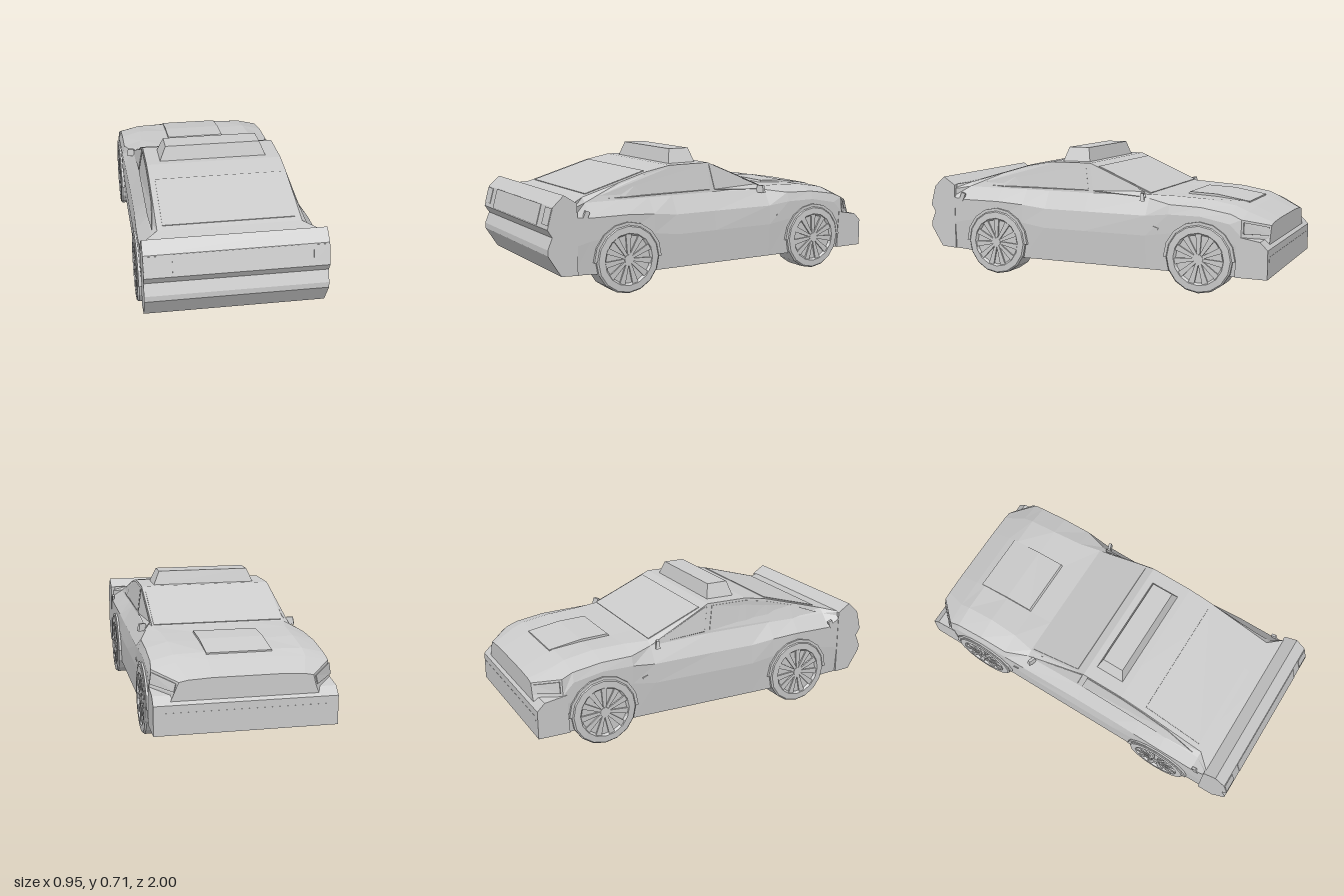
import * as THREE from 'three';

const material = new THREE.MeshStandardMaterial({ color: 0xcccccc, flatShading: true });

// Body sections from tail to nose: z, floor y, then half outline points
// waist, shoulder, belt and roof/hood edge, and last the centre height.
const sections = [
  [0.86, 0.125, [0.46, 0.27], [0.46, 0.42], [0.46, 0.465], [0.455, 0.49], 0.49],
  [0.77, 0.12, [0.46, 0.29], [0.46, 0.41], [0.40, 0.48], [0.37, 0.505], 0.505],
  [0.56, 0.10, [0.46, 0.32], [0.46, 0.41], [0.40, 0.48], [0.37, 0.566], 0.566],
  [0.40, 0.10, [0.46, 0.30], [0.455, 0.40], [0.395, 0.48], [0.37, 0.612], 0.612],
  [0.26, 0.10, [0.46, 0.28], [0.45, 0.385], [0.395, 0.48], [0.37, 0.638], 0.638],
  [0.02, 0.10, [0.46, 0.28], [0.45, 0.385], [0.395, 0.48], [0.37, 0.64], 0.64],
  [-0.34, 0.10, [0.46, 0.28], [0.455, 0.385], [0.40, 0.47], [0.365, 0.487], 0.487],
  [-0.47, 0.10, [0.46, 0.30], [0.46, 0.40], [0.445, 0.45], [0.34, 0.483], 0.476],
  [-0.64, 0.10, [0.46, 0.32], [0.46, 0.40], [0.445, 0.445], [0.33, 0.475], 0.468],
  [-0.80, 0.10, [0.46, 0.28], [0.46, 0.37], [0.445, 0.42], [0.33, 0.448], 0.452],
  [-0.86, 0.10, [0.46, 0.25], [0.46, 0.31], [0.45, 0.395], [0.33, 0.422], 0.43],
  [-0.985, 0.10, [0.37, 0.25], [0.35, 0.30], [0.335, 0.358], [0.29, 0.367], 0.373],
];

function geometryFrom(positions) {
  const g = new THREE.BufferGeometry();
  g.setAttribute('position', new THREE.Float32BufferAttribute(positions, 3));
  g.computeVertexNormals();
  return g;
}

function add(parent, name, geometry, x = 0, y = 0, z = 0) {
  const mesh = new THREE.Mesh(geometry, material);
  mesh.name = name;
  mesh.position.set(x, y, z);
  parent.add(mesh);
  return mesh;
}

// Faceted shell through all sections, closed at both ends
function bodyGeometry() {
  const rings = sections.map(([z, floor, waist, shoulder, belt, edge, top]) => {
    const half = [[0.45, floor], waist, shoulder, belt, edge, [0.17, top]];
    const other = half.map(([x, y]) => [-x, y]).reverse();
    return [...half, ...other].map(([x, y]) => [x, y, z]);
  });
  const out = [], n = rings[0].length;
  const tri = (...p) => p.forEach(v => out.push(...v));
  for (let i = 0; i < rings.length - 1; i++) {
    for (let j = 0; j < n; j++) {
      const k = (j + 1) % n, a = rings[i], b = rings[i + 1];
      tri(a[j], b[j], b[k]);
      tri(a[j], b[k], a[k]);
    }
  }
  const rear = rings[0], nose = rings[rings.length - 1];
  for (let j = 1; j < n - 1; j++) {
    tri(rear[0], rear[j], rear[j + 1]);
    tri(nose[0], nose[j + 1], nose[j]);
  }
  return geometryFrom(out);
}

// Flat plate: corners counterclockwise seen from outside, raised by d
function plate(corners, d = 0.004) {
  const base = corners.map(c => new THREE.Vector3(...c));
  const normal = base[1].clone().sub(base[0]).cross(base[2].clone().sub(base[0])).normalize();
  const top = base.map(p => p.clone().addScaledVector(normal, d));
  const out = [], tri = (...p) => p.forEach(v => out.push(v.x, v.y, v.z));
  for (let i = 1; i < base.length - 1; i++) tri(top[0], top[i], top[i + 1]);
  base.forEach((p, i) => {
    const k = (i + 1) % base.length;
    tri(p, base[k], top[k]);
    tri(p, top[k], top[i]);
  });
  return geometryFrom(out);
}

function mirroredPlates(parent, name, corners, d) {
  add(parent, name + 'Left', plate(corners, d));
  add(parent, name + 'Right', plate(corners.map(([x, y, z]) => [-x, y, z]).reverse(), d));
}

// Point on the cabin side between belt and roof edge
function onSide(z, t) {
  const i = sections.findIndex((s, k) => k > 0 && s[0] <= z);
  const a = sections[i - 1], b = sections[i], f = (a[0] - z) / (a[0] - b[0]);
  const mix = (u, v, w) => u + (v - u) * w;
  const at = c => mix(mix(a[4][c], a[5][c], t), mix(b[4][c], b[5][c], t), f);
  return [at(0), at(1), z];
}

// Profile of [z, y] points swept across the car
function across(profile, halfWidth) {
  const shape = new THREE.Shape(profile.map(([z, y]) => new THREE.Vector2(-z, y)));
  const g = new THREE.ExtrudeGeometry(shape, { depth: 2 * halfWidth, bevelEnabled: false });
  return g.rotateY(Math.PI / 2).translate(-halfWidth, 0, 0);
}

// Box whose top is narrowed in x and z
function taperedBox(w, h, d, topW, topD) {
  const g = new THREE.BoxGeometry(w, h, d), p = g.attributes.position;
  for (let i = 0; i < p.count; i++) {
    if (p.getY(i) > 0) p.setXYZ(i, p.getX(i) * topW / w, p.getY(i), p.getZ(i) * topD / d);
  }
  return g;
}

function createWheel() {
  const wheel = new THREE.Group();
  const profile = [[0, 0.085], [0.125, 0.085], [0.14, 0], [0.18, 0], [0.18, 0.125], [0.172, 0.134],
    [0.137, 0.136], [0.127, 0.123], [0, 0.123]].map(p => new THREE.Vector2(...p));
  add(wheel, 'tire', new THREE.LatheGeometry(profile, 16)).rotation.z = -Math.PI / 2;
  // Spokes widen toward the rim
  for (let i = 0; i < 11; i++) {
    const g = taperedBox(0.01, 0.115, 0.014, 0.01, 0.032).translate(0.127, 0.075, 0);
    add(wheel, 'spoke', g).rotation.x = i * Math.PI * 2 / 11;
  }
  add(wheel, 'hub', new THREE.CylinderGeometry(0.026, 0.026, 0.014, 10), 0.128).rotation.z = -Math.PI / 2;
  // Faceted wheel arch
  const arch = new THREE.Shape();
  for (let i = 0; i <= 8; i++) {
    const a = Math.PI * (i / 8);
    arch[i ? 'lineTo' : 'moveTo'](0.194 * Math.cos(a), 0.194 * Math.sin(a));
  }
  for (let i = 8; i >= 0; i--) {
    const a = Math.PI * (i / 8);
    arch.lineTo(0.178 * Math.cos(a), 0.178 * Math.sin(a));
  }
  const archGeometry = new THREE.ExtrudeGeometry(arch, { depth: 0.05, bevelEnabled: false });
  add(wheel, 'wheelArch', archGeometry.rotateY(Math.PI / 2), 0.08);
  return wheel;
}

export function createModel() {
  const car = new THREE.Group();
  car.name = 'car';
  add(car, 'body', bodyGeometry());

  // Tail with raised spoiler, and front bumper
  add(car, 'tail', across([[0.84, 0.125], [0.84, 0.49], [0.91, 0.535], [0.97, 0.48], [1, 0.37],
    [0.975, 0.33], [1, 0.27], [1, 0.24], [0.93, 0.13]].reverse(), 0.462));
  add(car, 'frontBumper', across([[-0.83, 0.10], [-1, 0.10], [-1, 0.25], [-0.96, 0.29], [-0.84, 0.31]].reverse(), 0.462));
  add(car, 'bumperStrip', new THREE.BoxGeometry(0.86, 0.025, 0.006), 0, 0.2, -0.998);

  // Tail panel and lamps on the sloping rear face
  const rearZ = y => 1 - (y - 0.37) * 0.2727;
  const rearPlate = (x0, x1, y0, y1) => [[x0, y0, rearZ(y0)], [x1, y0, rearZ(y0)], [x1, y1, rearZ(y1)], [x0, y1, rearZ(y1)]];
  add(car, 'tailPanel', plate(rearPlate(-0.32, 0.32, 0.375, 0.479), 0.003));
  mirroredPlates(car, 'tailLamp', rearPlate(0.38, 0.459, 0.39, 0.474), 0.003);

  // Glass
  const slope = (z0, y0, z1, y1) => z => y0 + (y1 - y0) * (z - z0) / (z1 - z0);
  const screen = slope(0.02, 0.64, -0.34, 0.487), back = slope(0.4, 0.612, 0.77, 0.505);
  const topPlate = (w, z0, z1, y) => [[-w, y(z0), z0], [w, y(z0), z0], [w, y(z1), z1], [-w, y(z1), z1]];
  add(car, 'windshield', plate(topPlate(0.355, -0.025, -0.33, screen)));
  add(car, 'rearWindow', plate(topPlate(0.34, 0.74, 0.40, back)));
  mirroredPlates(car, 'frontSideWindow', [onSide(-0.01, 0.08), onSide(-0.32, 0.1), onSide(-0.3, 0.85), onSide(0.015, 0.93)]);
  mirroredPlates(car, 'rearSideWindow', [onSide(0.73, 0.3), onSide(0.56, 0.1), onSide(0.02, 0.08), onSide(0.045, 0.92),
    onSide(0.26, 0.92), onSide(0.4, 0.9), onSide(0.56, 0.87)], 0.003);

  // Roof sign
  add(car, 'roofSign', taperedBox(0.59, 0.08, 0.165, 0.52, 0.12), 0, 0.675, 0.14);

  // Hood scoop, flush at the nose and open step at the back
  add(car, 'hoodScoop', across([[-0.47, 0.465], [-0.485, 0.487], [-0.64, 0.481], [-0.82, 0.452], [-0.82, 0.43]], 0.168));

  // Headlights across the chamfered corners
  mirroredPlates(car, 'headlight', [[0.355, 0.308, -0.975], [0.345, 0.35, -0.975], [0.448, 0.383, -0.87], [0.456, 0.325, -0.87]], 0.007);

  for (const s of [1, -1]) {
    const side = s > 0 ? 'Left' : 'Right';
    // Mirrors, door handles and rear markers
    const mirror = add(car, 'mirror' + side, taperedBox(0.05, 0.04, 0.025, 0.035, 0.015), s * 0.415, 0.478, -0.305);
    mirror.rotation.y = s * 0.35;
    add(car, 'sideMarker' + side, new THREE.BoxGeometry(0.012, 0.008, 0.03), s * 0.458, 0.325, -0.4).rotation.x = -0.3;
    add(car, 'rearMarker' + side, new THREE.BoxGeometry(0.014, 0.045, 0.025), s * 0.455, 0.425, 0.79).rotation.x = -0.4;

    for (const [z, name] of [[0.56, 'rearWheel'], [-0.64, 'frontWheel']]) {
      const wheel = createWheel();
      wheel.name = name + side;
      wheel.position.set(s * 0.34, 0.18, z);
      if (s < 0) wheel.rotation.y = Math.PI;
      car.add(wheel);
    }
  }
  return car;
}
